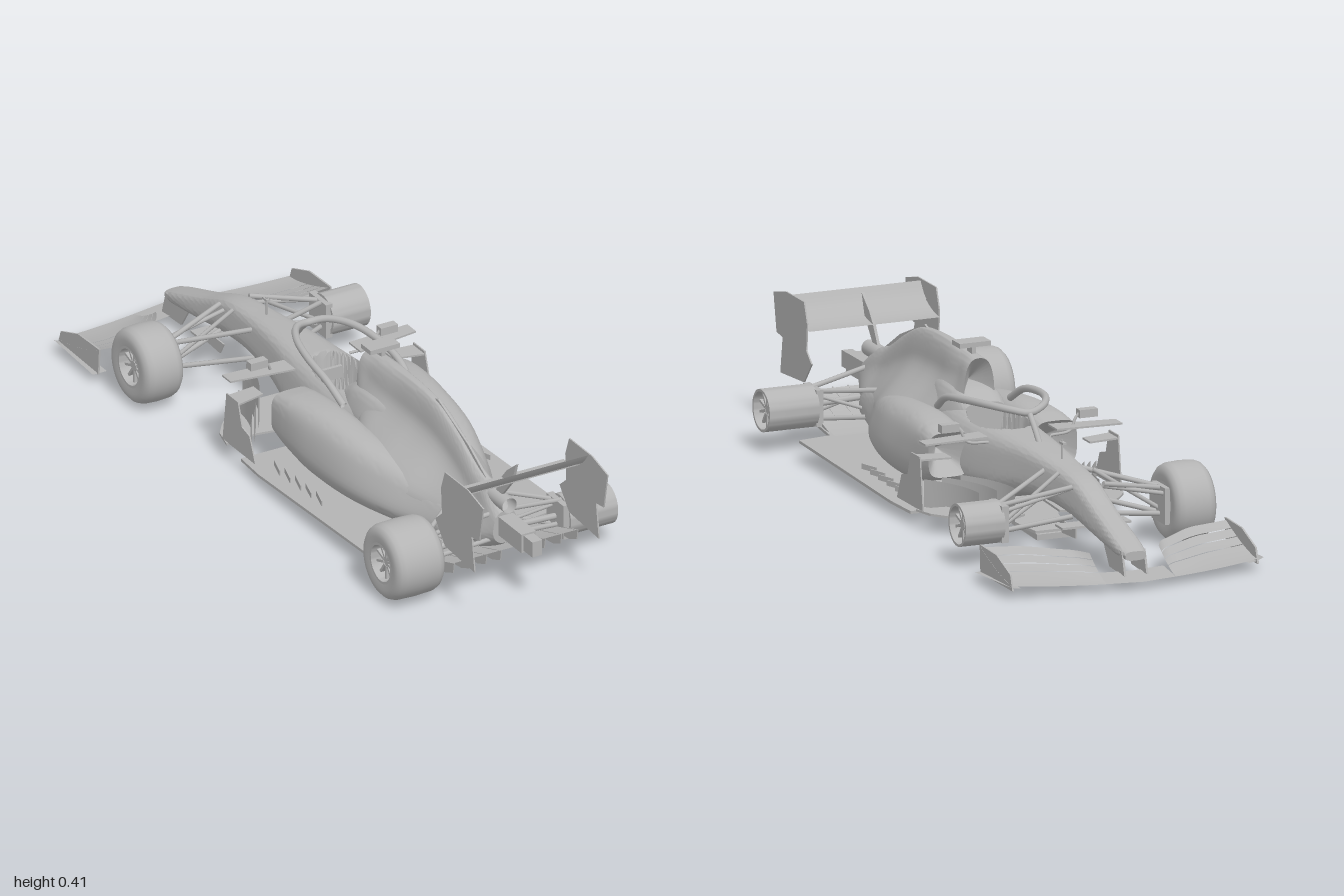
import * as THREE from 'three';
import { toCreasedNormals } from 'three/addons/utils/BufferGeometryUtils.js';

export function createModel() {
  const car = new THREE.Group();
  car.name = 'racingCar';
  const grey = new THREE.MeshStandardMaterial({ color: 0xb4b4b4, side: THREE.DoubleSide });
  grey.name = 'bodyGrey';
  const sides = [-1, 1];
  const { smoothstep } = THREE.MathUtils;

  const add = (name, geometry, parent = car) => {
    const mesh = new THREE.Mesh(geometry, grey);
    mesh.name = name;
    parent.add(mesh);
    return mesh;
  };
  const box = (name, w, h, d, x, y, z) => add(name, new THREE.BoxGeometry(w, h, d).translate(x, y, z));

  // Horizontal plate from [x, z] corners, lying on height y
  const flatPlate = (name, pts, y, t) => {
    const shape = new THREE.Shape(pts.map(([x, z]) => new THREE.Vector2(x, -z)));
    const g = new THREE.ExtrudeGeometry(shape, { depth: t, bevelEnabled: false });
    return add(name, g.rotateX(-Math.PI / 2).translate(0, y, 0));
  };
  // Upright plate from [z, y] corners, centred on x
  const sidePlate = (name, pts, x, t = 0.005) => {
    const shape = new THREE.Shape(pts.map(([z, y]) => new THREE.Vector2(z, y)));
    const g = new THREE.ExtrudeGeometry(shape, { depth: t, bevelEnabled: false });
    return add(name, g.rotateY(-Math.PI / 2).translate(x + t / 2, 0, 0));
  };
  // Curved sheet from a rule (u, v) -> [x, y, z]
  const sheet = (name, nu, nv, rule) => {
    const g = new THREE.PlaneGeometry(1, 1, nu, nv);
    const p = g.attributes.position;
    for (let i = 0; i < p.count; i++) p.setXYZ(i, ...rule(p.getX(i) + 0.5, p.getY(i) + 0.5));
    g.computeVertexNormals();
    return add(name, g);
  };
  // Straight strut between two points
  const rod = (name, a, b, r = 0.005) => {
    const A = new THREE.Vector3(...a), B = new THREE.Vector3(...b);
    const m = add(name, new THREE.CylinderGeometry(r, r, A.distanceTo(B), 8));
    m.position.copy(A).add(B).multiplyScalar(0.5);
    m.quaternion.setFromUnitVectors(new THREE.Vector3(0, 1, 0), B.sub(A).normalize());
  };
  // Smooth bar through several points
  const bar = (name, pts, r, steps) => add(name, new THREE.TubeGeometry(
    new THREE.CatmullRomCurve3(pts.map(p => new THREE.Vector3(...p))), steps, r, 10));

  // Body loft. Rows: z, centre x, half width, bottom, top, roundness, narrowing of the upper half
  const loft = (name, rows, { steps = 50, around = 48, inset = 0, rule } = {}) => {
    const pos = [], idx = [], z0 = rows[0][0], z1 = rows[rows.length - 1][0];
    const slope = (i, k) => {
      const a = rows[Math.max(i - 1, 0)], b = rows[Math.min(i + 1, rows.length - 1)];
      return (b[k] - a[k]) / (b[0] - a[0]);
    };
    const at = (z, k) => {
      let i = 0;
      while (i < rows.length - 2 && z > rows[i + 1][0]) i++;
      const h = rows[i + 1][0] - rows[i][0], t = (z - rows[i][0]) / h, t2 = t * t, t3 = t2 * t;
      return rows[i][k] * (2 * t3 - 3 * t2 + 1) + rows[i + 1][k] * (3 * t2 - 2 * t3)
        + h * (slope(i, k) * (t3 - 2 * t2 + t) + slope(i + 1, k) * (t3 - t2));
    };
    for (let i = 0; i <= steps; i++) {
      const z = z0 + (z1 - z0) * i / steps;
      const [cx, w, yb, yt, n, taper] = [1, 2, 3, 4, 5, 6].map(k => at(z, k));
      for (let j = 0; j < around; j++) {
        const a = j / around * Math.PI * 2, c = Math.cos(a), s = Math.sin(a);
        const sy = Math.sign(s) * Math.abs(s) ** (2 / n);
        const narrow = 1 - taper * smoothstep((sy + 1) / 2, 0.25, 0.78);
        const x = cx + Math.sign(c) * Math.abs(c) ** (2 / n) * w * narrow;
        const y = (yb + yt) / 2 + sy * (yt - yb) / 2;
        pos.push(x, rule ? rule(x, y, z) : y, z);
        if (i < steps) {
          const p = i * around + j, q = i * around + (j + 1) % around;
          idx.push(p, q, q + around, p, q + around, p + around);
        }
      }
    }
    const c0 = pos.length / 3, last = steps * around;
    pos.push(rows[0][1], (at(z0, 3) + at(z0, 4)) / 2, z0 + inset, at(z1, 1), (at(z1, 3) + at(z1, 4)) / 2, z1);
    for (let j = 0; j < around; j++) {
      const k = (j + 1) % around;
      idx.push(c0, k, j, c0 + 1, last + j, last + k);
    }
    const g = new THREE.BufferGeometry();
    g.setAttribute('position', new THREE.Float32BufferAttribute(pos, 3));
    g.setIndex(idx);
    return add(name, toCreasedNormals(g, 0.7));
  };

  // Nose and monocoque, with the cockpit hollowed out
  loft('chassis', [
    [-0.945, 0, 0.03, 0.065, 0.09, 3, 0], [-0.9, 0, 0.038, 0.066, 0.107, 3, 0],
    [-0.75, 0, 0.043, 0.085, 0.16, 3.2, 0.1], [-0.62, 0, 0.048, 0.105, 0.208, 3.5, 0.1],
    [-0.48, 0, 0.057, 0.115, 0.226, 3.5, 0.1], [-0.33, 0, 0.075, 0.1, 0.238, 3.5, 0.1],
    [-0.18, 0, 0.1, 0.06, 0.243, 3.2, 0.1], [0, 0, 0.12, 0.04, 0.25, 3, 0.1],
    [0.2, 0, 0.12, 0.04, 0.26, 2.5, 0.2]],
  { steps: 130, around: 96, rule: (x, y, z) => {
    const d = Math.hypot(x / 0.075, (z + 0.045) / 0.13);
    return y > 0.16 ? y - (y - 0.14) * (1 - smoothstep(d, 0.88, 1)) : y;
  } });
  // Raised surround behind the driver
  loft('headrest', [
    [0.045, 0, 0.07, 0.18, 0.262, 3, 0.1], [0.1, 0, 0.085, 0.17, 0.29, 2.8, 0.15],
    [0.2, 0, 0.092, 0.16, 0.3, 2.6, 0.2], [0.34, 0, 0.07, 0.15, 0.285, 2.4, 0.3]], { steps: 24 });
  // Airbox and engine cover, flaring smoothly into the sidepods
  loft('engineCover', [
    [0.085, 0, 0.045, 0.23, 0.372, 2.4, 0.1], [0.14, 0, 0.075, 0.16, 0.378, 2.4, 0.45],
    [0.24, 0, 0.14, 0.08, 0.383, 2.5, 0.72], [0.36, 0, 0.17, 0.05, 0.382, 2.5, 0.81],
    [0.46, 0, 0.148, 0.05, 0.368, 2.5, 0.8], [0.56, 0, 0.108, 0.05, 0.325, 2.4, 0.74],
    [0.66, 0, 0.08, 0.055, 0.27, 2.4, 0.6], [0.72, 0, 0.068, 0.065, 0.25, 2.4, 0.45],
    [0.79, 0, 0.04, 0.11, 0.205, 2.4, 0.1]], { steps: 70, around: 72, inset: 0.07 });
  sidePlate('coverFin', [[0.4, 0.37], [0.44, 0.38], [0.6, 0.315], [0.71, 0.25], [0.7, 0.18], [0.5, 0.2]], 0, 0.006);
  for (const s of sides) {
    loft('sidepod', [
      [-0.07, s * 0.155, 0.06, 0.1, 0.222, 4, 0], [0, s * 0.152, 0.068, 0.075, 0.236, 3.2, 0.03],
      [0.12, s * 0.143, 0.08, 0.05, 0.242, 2.6, 0.1], [0.28, s * 0.128, 0.083, 0.045, 0.228, 2.4, 0.15],
      [0.42, s * 0.095, 0.08, 0.045, 0.203, 2.3, 0.2], [0.56, s * 0.058, 0.058, 0.05, 0.175, 2.2, 0.2],
      [0.72, s * 0.035, 0.035, 0.06, 0.15, 2.2, 0.1]], { inset: 0.09 });
  }

  // Floor, plank and edge fins, raked up toward the back
  const mirrorOutline = half => [...half, ...half.slice().reverse().map(([x, z]) => [-x, z])];
  const rake = -0.035;
  flatPlate('floor', mirrorOutline([[0.05, -0.4], [0.07, -0.28], [0.13, -0.11], [0.285, -0.11],
    [0.295, 0], [0.295, 0.6], [0.2, 0.615], [0.19, 0.72]]), 0.026, 0.008).rotation.x = rake;
  box('plank', 0.1, 0.016, 1.0, 0, 0.019, 0.09).rotation.x = rake;
  sheet('diffuser', 2, 8, (u, v) => [(u - 0.5) * 0.38, 0.055 + 0.065 * v ** 1.4, 0.6 + 0.24 * v]);
  for (const x of [-0.19, -0.14, -0.09, -0.045, 0.045, 0.09, 0.14, 0.19])
    sidePlate('diffuserStrake', [[0.62, 0.052], [0.8, 0.075], [0.84, 0.092], [0.845, 0.122], [0.72, 0.08]], x, 0.003);
  for (const s of sides) for (let i = 0; i < 5; i++) {
    const fin = box('floorFin', 0.003, 0.015, 0.06, 0, 0, 0);
    fin.position.set(s * 0.25, 0.052 + i * 0.002, 0.02 + i * 0.055);
    fin.rotation.y = s * 0.3;
  }

  // Bargeboards and sidepod vanes
  for (const s of sides) {
    flatPlate('bargeboardFoot', [[0.05, -0.33], [0.1, -0.36], [0.12, -0.4], [0.15, -0.385], [0.19, -0.33], [0.25, -0.27],
      [0.28, -0.23], [0.295, -0.17], [0.2, -0.18], [0.14, -0.17], [0.06, -0.15]].map(([x, z]) => [s * x, z]), 0.045, 0.006);
    for (let i = 0; i < 3; i++)
      sheet('bargeboard', 8, 2, (u, v) => [s * (0.105 + i * 0.035 + u * u * 0.075),
        0.04 + v * (0.1 - 0.012 * i), -0.39 + i * 0.04 + u * 0.19]);
    sidePlate('outerVane', [[-0.2, 0.05], [-0.03, 0.05], [-0.06, 0.12], [-0.1, 0.13], [-0.12, 0.195], [-0.18, 0.195]], s * 0.287, 0.004);
    flatPlate('vaneBridge', [[0.2, -0.19], [0.287, -0.18], [0.287, -0.12], [0.2, -0.14]].map(([x, z]) => [s * x, z]), 0.183, 0.005);
    flatPlate('upperWinglet', [[0.1, -0.2], [0.285, -0.21], [0.285, -0.165], [0.1, -0.14]].map(([x, z]) => [s * x, z]), 0.231, 0.005);
    // Mirrors on bent stalks
    box('mirror', 0.052, 0.022, 0.025, s * 0.2, 0.264, -0.17);
    bar('mirrorStalk', [[s * 0.09, 0.215, -0.18], [s * 0.15, 0.222, -0.175], [s * 0.165, 0.25, -0.17], [s * 0.18, 0.268, -0.17]], 0.004, 16);
  }

  // Halo, steering wheel and camera
  const haloHalf = [[0.105, 0.245, 0.12], [0.112, 0.285, 0.05], [0.108, 0.305, -0.06], [0.085, 0.313, -0.16], [0.045, 0.31, -0.225]];
  bar('halo', [...haloHalf, [0, 0.302, -0.245], ...haloHalf.slice().reverse().map(([x, y, z]) => [-x, y, z])], 0.01, 60);
  bar('haloStrut', [[0, 0.302, -0.245], [0, 0.275, -0.275], [0, 0.225, -0.32]], 0.008, 12);
  box('steeringWheel', 0.06, 0.035, 0.01, 0, 0.205, -0.12);
  box('cameraStalk', 0.012, 0.03, 0.03, 0, 0.385, 0.135);
  box('roofCamera', 0.09, 0.013, 0.05, 0, 0.403, 0.135);
  rod('sensorMast', [0, 0.22, -0.46], [0, 0.28, -0.46], 0.003);
  box('sensorHead', 0.01, 0.006, 0.025, 0, 0.272, -0.465);

  // Front wing: four cascading elements each side, joined by a centre plane
  const lead = x => -1 + 0.16 * x;
  const trail = x => -0.738 - 0.1 * (1 - smoothstep(x, 0.08, 0.27)) - 0.04 * (1 - smoothstep(x, 0.09, 0.13));
  sheet('frontWingCentre', 4, 4, (u, v) => [(u - 0.5) * 0.2, 0.02 + 0.01 * v, lead(Math.abs(u - 0.5) * 0.2) + 0.085 * v]);
  const cuts = [[0, 0.45], [0.465, 0.64], [0.655, 0.82], [0.835, 1]];
  for (const s of sides) {
    for (const [a, b] of cuts) sheet('frontWingElement', 16, 4, (u, v) => {
      const x = 0.1 + 0.258 * u, c = a + (b - a) * v;
      return [s * x, 0.02 + 0.012 * u * u + 0.058 * c ** 1.5, lead(x) + (trail(x) - lead(x)) * c];
    });
    sidePlate('frontWingEndplate', [[-0.945, 0.018], [-0.735, 0.018], [-0.73, 0.095], [-0.84, 0.092], [-0.93, 0.06]], s * 0.355, 0.005);
    sheet('endplateFoot', 6, 4, (u, v) => [s * (0.33 + 0.043 * u), 0.022 + 0.012 * u * u * (1 - v), -0.94 + 0.205 * v]);
    sidePlate('nosePylon', [[-0.95, 0.025], [-0.85, 0.03], [-0.81, 0.09], [-0.93, 0.09]], s * 0.032, 0.006);
    // Turning vane hung beside the nose
    box('turningVaneFoot', 0.07, 0.006, 0.05, s * 0.065, 0.1, -0.665);
    sidePlate('turningVane', [[-0.69, 0.07], [-0.6, 0.065], [-0.58, 0.1], [-0.69, 0.1]], s * 0.06, 0.004);
  }

  // Rear wing, endplates and support
  sheet('rearWingMain', 2, 10, (u, v) => [(u - 0.5) * 0.38, 0.3 + 0.027 * v * v, 0.77 + 0.095 * v]);
  sheet('rearWingFlap', 2, 8, (u, v) => [(u - 0.5) * 0.38, 0.328 + 0.042 * v, 0.86 + 0.04 * v ** 0.7]);
  for (const s of sides)
    sidePlate('rearWingEndplate', [[1, 0.355], [0.92, 0.375], [0.8, 0.375], [0.78, 0.32], [0.785, 0.245], [0.75, 0.215],
      [0.8, 0.155], [0.955, 0.145], [0.94, 0.245], [0.98, 0.25]], s * 0.191, 0.004);
  sidePlate('rearWingPillar', [[0.74, 0.24], [0.77, 0.24], [0.83, 0.31], [0.85, 0.37], [0.8, 0.33], [0.775, 0.3]], 0, 0.008);
  box('crashStructure', 0.045, 0.055, 0.2, 0, 0.165, 0.81);
  box('rearLight', 0.03, 0.045, 0.06, 0, 0.165, 0.925);
  add('exhaust', new THREE.CylinderGeometry(0.022, 0.022, 0.13, 24, 1, true).rotateX(Math.PI / 2).translate(0, 0.228, 0.745));

  // Wheels: rims at every corner, tyres on the -x side only
  const wheel = (s, x, z, w) => {
    const g = new THREE.Group();
    g.name = 'wheel';
    g.position.set(s * x, 0.111, z);
    g.rotation.z = -s * Math.PI / 2;
    car.add(g);
    const h = w / 2, lathe = pts => new THREE.LatheGeometry(pts.map(([r, y]) => new THREE.Vector2(r, y)), 48);
    add('rimBarrel', toCreasedNormals(lathe([[0.05, -h], [0.058, -h], [0.058, h], [0.051, h], [0.049, h - 0.03], [0.047, -h + 0.01], [0.05, -h]]), 0.6), g);
    add('hub', new THREE.CylinderGeometry(0.014, 0.018, w * 0.75, 20), g);
    add('brakeDisc', new THREE.CylinderGeometry(0.046, 0.046, 0.02, 32).translate(0, -h * 0.5, 0), g);
    for (let i = 0; i < 10; i++)
      add('spoke', new THREE.BoxGeometry(0.04, 0.012, 0.007).translate(0.032, h - 0.022, 0).rotateY(i * Math.PI / 5), g);
    if (s < 0) add('tyre', lathe([[0.058, -h], [0.075, -h - 0.002], [0.09, -h], [0.1, -h + 0.009], [0.105, -h + 0.022], [0.107, 0],
      [0.105, h - 0.022], [0.1, h - 0.009], [0.09, h], [0.075, h + 0.002], [0.058, h]]), g);
  };
  for (const s of sides) {
    wheel(s, 0.298, -0.578, 0.115);
    wheel(s, 0.276, 0.728, 0.145);
    // Front suspension
    for (const [z, y, hy] of [[-0.63, 0.195, 0.15], [-0.45, 0.2, 0.15], [-0.63, 0.115, 0.08], [-0.43, 0.125, 0.08]])
      rod('frontWishbone', [s * 0.045, y, z], [s * 0.25, hy, -0.58], 0.007);
    rod('frontPushrod', [s * 0.05, 0.215, -0.55], [s * 0.24, 0.09, -0.575], 0.006);
    rod('steeringArm', [s * 0.045, 0.185, -0.61], [s * 0.25, 0.14, -0.61], 0.006);
    // Rear suspension
    for (const [z, y, hy] of [[0.58, 0.17, 0.15], [0.76, 0.19, 0.155], [0.57, 0.1, 0.075], [0.77, 0.12, 0.085]])
      rod('rearWishbone', [s * 0.03, y, z], [s * 0.22, hy, 0.73], 0.007);
    rod('driveShaft', [s * 0.02, 0.12, 0.73], [s * 0.22, 0.111, 0.73], 0.009);
    rod('rearPullrod', [s * 0.04, 0.09, 0.66], [s * 0.21, 0.145, 0.72]);
    box('rearBrakeDuct', 0.02, 0.1, 0.09, s * 0.197, 0.111, 0.73);
    box('frontBrakeDuct', 0.02, 0.1, 0.09, s * 0.236, 0.111, -0.58);
  }
  return car;
}
